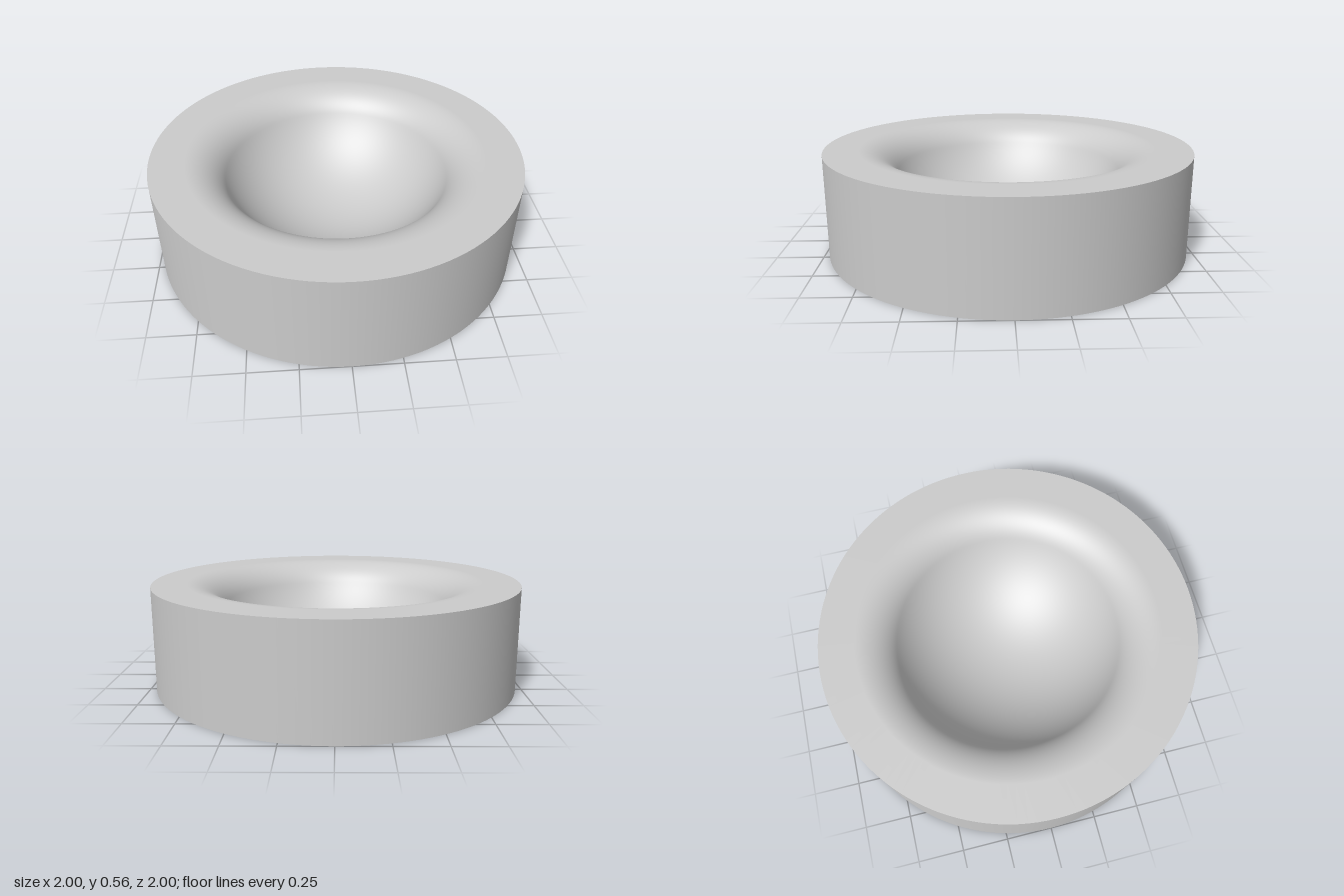
import * as THREE from 'three';

const HEIGHT = 0.56;
const WALL = 0.022;
const BOWL_RADIUS = 0.69, BOWL_Y = 0.77;      // centre of the bowl sphere, on the axis
const LIP_RADIUS = 0.2335, LIP_R = 0.81;      // rounded lip, tangent to rim and bowl
const LIP_Y = HEIGHT - LIP_RADIUS;
const SLOPE = Math.atan2(LIP_R, BOWL_Y - LIP_Y); // steepest slope, where lip meets bowl

const v = (r, y) => new THREE.Vector2(r, y);

// Profile from the rim over the lip to the bowl's lowest point, offset downwards by t
function dishProfile(outer, t) {
  const pts = [v(outer, HEIGHT - t)];
  for (let i = 0; i <= 20; i++) {
    const a = SLOPE * i / 20, f = LIP_RADIUS - t;
    pts.push(v(LIP_R - f * Math.sin(a), LIP_Y + f * Math.cos(a)));
  }
  for (let i = 31; i >= 0; i--) {
    const a = SLOPE * i / 32, R = BOWL_RADIUS + t;
    pts.push(v(R * Math.sin(a), BOWL_Y - R * Math.cos(a)));
  }
  return pts;
}

export function createModel() {
  const group = new THREE.Group();
  group.name = 'bowlStand';
  const material = new THREE.MeshStandardMaterial({ color: 0xcccccc });

  // Each surface is a separate lathe so the edges between them stay sharp
  const add = (name, points) => {
    const mesh = new THREE.Mesh(new THREE.LatheGeometry(points, 128), material);
    mesh.name = name;
    group.add(mesh);
  };

  const inner = 1 - WALL;
  add('outerWall', [v(1, 0), v(1, HEIGHT)]);
  add('rimAndBowl', dishProfile(1, 0));
  add('bowlUnderside', dishProfile(inner, WALL).reverse());
  add('innerWall', [v(inner, HEIGHT - WALL), v(inner, 0)]);
  add('baseRing', [v(inner, 0), v(1, 0)]);

  return group;
}
